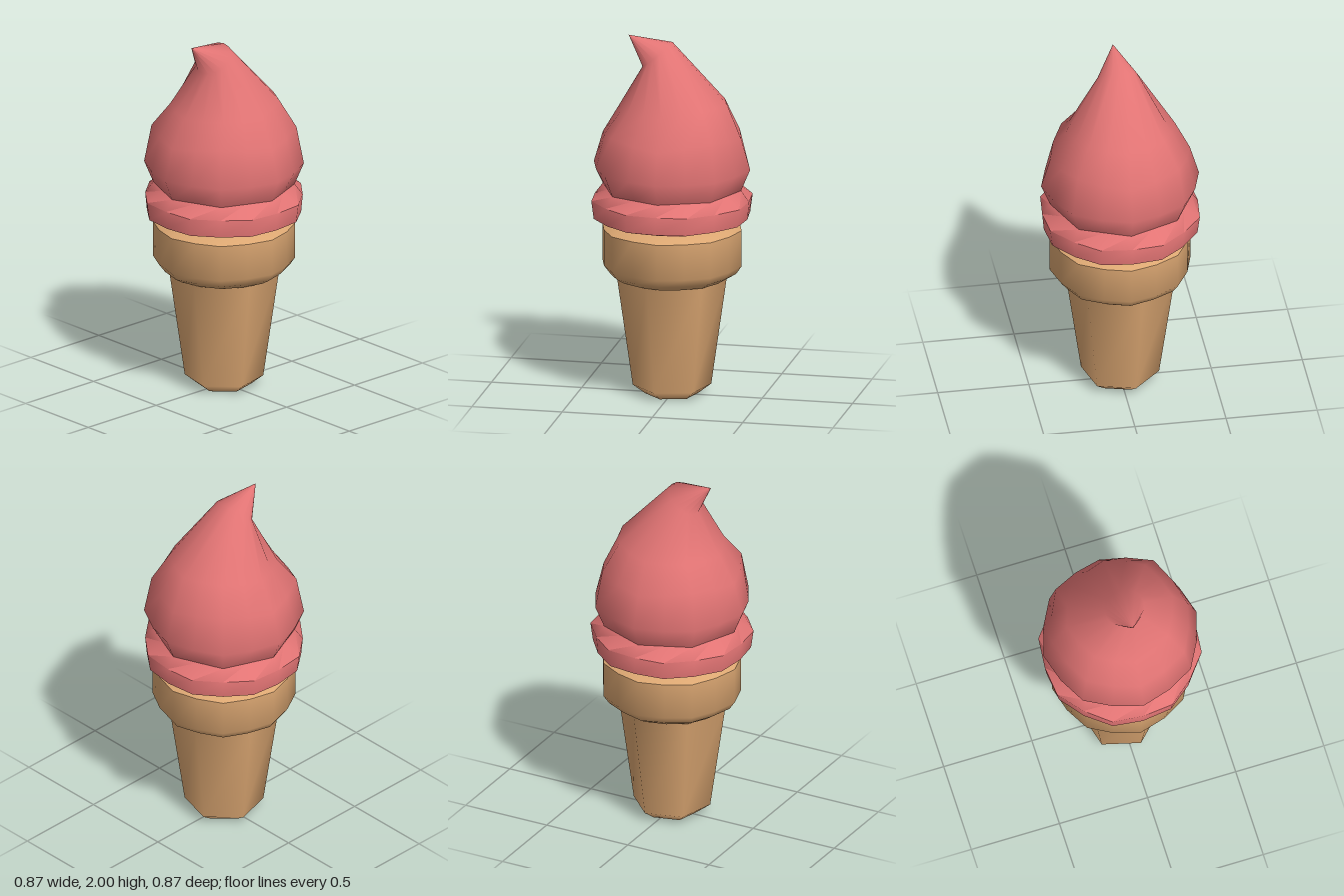
import * as THREE from 'three';
import { toCreasedNormals } from 'three/addons/utils/BufferGeometryUtils.js';

// Skin a stack of rings, bottom to top. Each ring has a height y and radius r, plus
// optional rz (depth radius), cx (sideways shift), tilt (rise toward +x),
// odd (scale of every second corner), bulge and lift (swelling and rise on the diagonals).
function loft(rings, sides, turn = 0) {
  const positions = [];
  const index = [];
  for (const { y, r, rz = r, cx = 0, tilt = 0, odd = 1, bulge = 0, lift = 0 } of rings) {
    for (let i = 0; i < sides; i++) {
      const a = turn + (i / sides) * Math.PI * 2;
      const diagonal = Math.sin(2 * a) ** 2;
      const k = (i % 2 ? odd : 1) * (1 + bulge * diagonal);
      positions.push(
        cx + r * k * Math.cos(a),
        y + tilt * Math.cos(a) + lift * diagonal,
        rz * k * Math.sin(a),
      );
    }
  }
  for (let j = 0; j < rings.length - 1; j++) {
    for (let i = 0; i < sides; i++) {
      const a = j * sides + i;
      const b = j * sides + (i + 1) % sides;
      // Rings of zero radius close the ends with a fan
      if (rings[j].r > 0) index.push(a, a + sides, b);
      if (rings[j + 1].r > 0) index.push(b, a + sides, b + sides);
    }
  }
  const geometry = new THREE.BufferGeometry();
  geometry.setAttribute('position', new THREE.Float32BufferAttribute(positions, 3));
  geometry.setIndex(index);
  geometry.computeVertexNormals();
  return geometry;
}

export function createModel() {
  const group = new THREE.Group();
  const wafer = new THREE.MeshStandardMaterial({ name: 'wafer tan', color: 0xdca772 });
  const cream = new THREE.MeshStandardMaterial({ name: 'strawberry pink', color: 0xe27474 });

  const add = (name, geometry, material) => {
    const mesh = new THREE.Mesh(geometry, material);
    mesh.name = name;
    group.add(mesh);
  };

  // Tapered six-sided cone stem with a bevelled foot
  add('coneStem', loft([
    { y: 0, r: 0 },
    { y: 0, r: 0.145 },
    { y: 0.05, r: 0.213 },
    { y: 0.68, r: 0.302 },
  ], 6, -Math.PI / 12), wafer);

  // Collar with bevelled rims
  add('coneCollar', toCreasedNormals(loft([
    { y: 0.66, r: 0 },
    { y: 0.66, r: 0.305, odd: 0.98 },
    { y: 0.69, r: 0.355, odd: 0.96 },
    { y: 0.735, r: 0.386, odd: 0.97 },
    { y: 0.935, r: 0.386, odd: 0.97 },
    { y: 0.97, r: 0.33, odd: 0.97 },
    { y: 0.97, r: 0 },
  ], 16), 0.95), wafer);

  // Lower band of ice cream
  add('creamBand', toCreasedNormals(loft([
    { y: 0.97, r: 0 },
    { y: 0.97, r: 0.32, odd: 1.03 },
    { y: 1.0, r: 0.418, odd: 1.03 },
    { y: 1.1, r: 0.427, odd: 1.04 },
    { y: 1.16, r: 0.383, odd: 0.925 },
  ], 16), 0.95), cream);

  // Main swirl, swelling on the diagonals and narrowing to a tip bent sideways
  add('creamSwirl', loft([
    { y: 1.16, r: 0.383, odd: 0.925 },
    { y: 1.28, r: 0.433, odd: 0.965 },
    { y: 1.45, r: 0.383, odd: 0.96, bulge: 0.025, lift: 0.04 },
    { y: 1.62, r: 0.3, cx: 0.005, tilt: 0.02, odd: 0.96, bulge: -0.02, lift: 0.01 },
    { y: 1.9, r: 0.08, rz: 0.11, cx: -0.08, tilt: 0.067 },
    { y: 2.0, r: 0, cx: -0.24 },
  ], 16), cream);

  return group;
}
